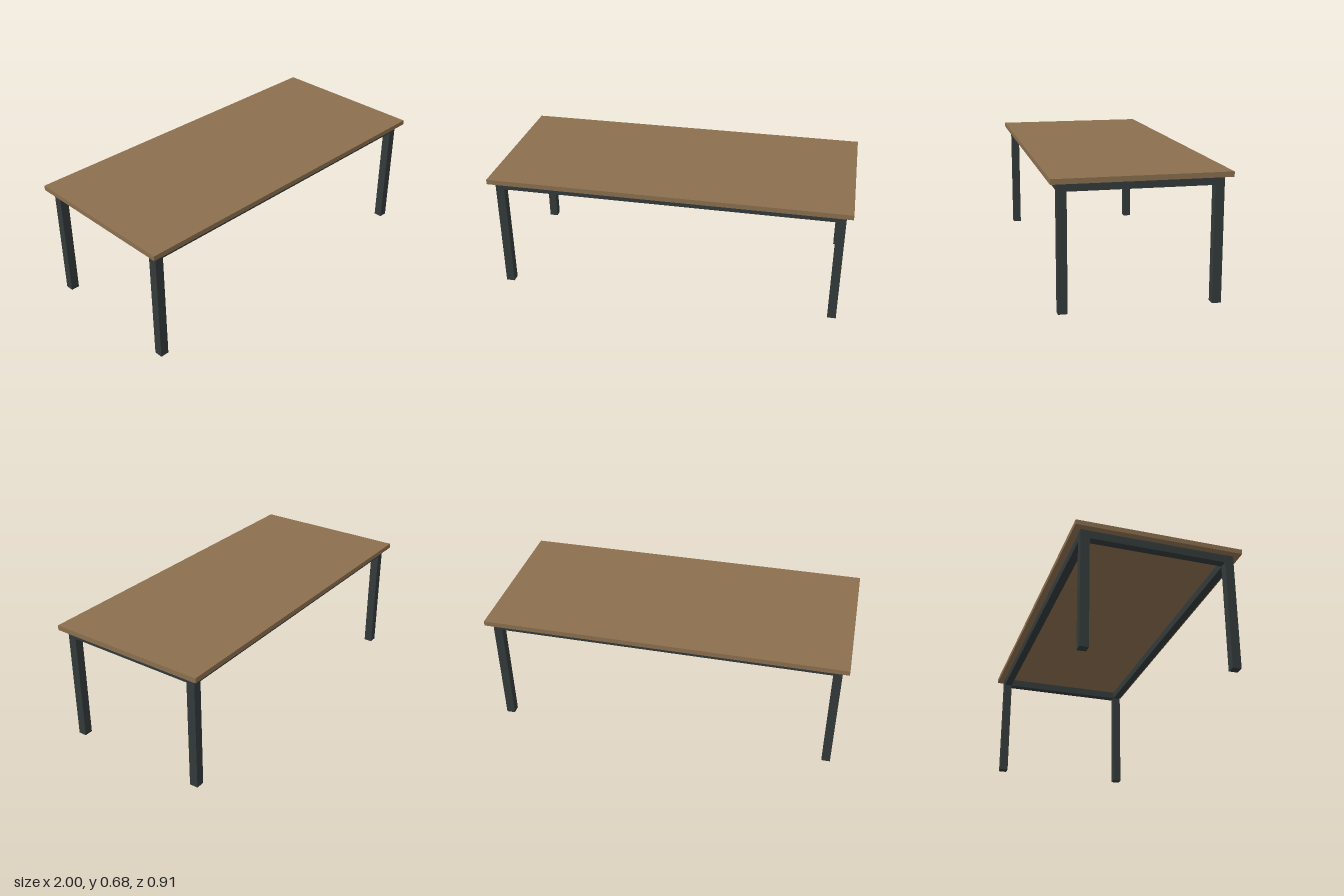
import * as THREE from 'three';

export function createModel() {
  const table = new THREE.Group();
  table.name = 'table';

  const wood = new THREE.MeshStandardMaterial({ color: 0x8b6f4e });
  wood.name = 'brown wood';
  const metal = new THREE.MeshStandardMaterial({ color: 0x333a3a });
  metal.name = 'dark metal';

  function box(name, material, size, position) {
    const mesh = new THREE.Mesh(new THREE.BoxGeometry(...size), material);
    mesh.name = name;
    mesh.position.set(...position);
    table.add(mesh);
  }

  const topThickness = 0.027, legHeight = 0.655, legWidth = 0.048, rail = 0.044;
  const legX = 0.941, legZ = 0.394; // leg centres
  const railY = legHeight - rail / 2;

  // Flat top resting on the frame
  box('tabletop', wood, [2, topThickness, 0.908], [0, legHeight + topThickness / 2, 0]);

  // Square legs, with rails running between them under the top
  for (const side of [-1, 1]) {
    for (const end of [-1, 1]) {
      const name = (end > 0 ? 'front' : 'back') + (side > 0 ? 'Left' : 'Right') + 'Leg';
      box(name, metal, [legWidth, legHeight, legWidth], [side * legX, legHeight / 2, end * legZ]);
    }
    box(side > 0 ? 'frontRail' : 'backRail', metal,
      [2 * legX - legWidth, rail, rail], [0, railY, side * legZ]);
    box(side > 0 ? 'leftRail' : 'rightRail', metal,
      [rail, rail, 2 * legZ - legWidth], [side * legX, railY, 0]);
  }
  return table;
}
